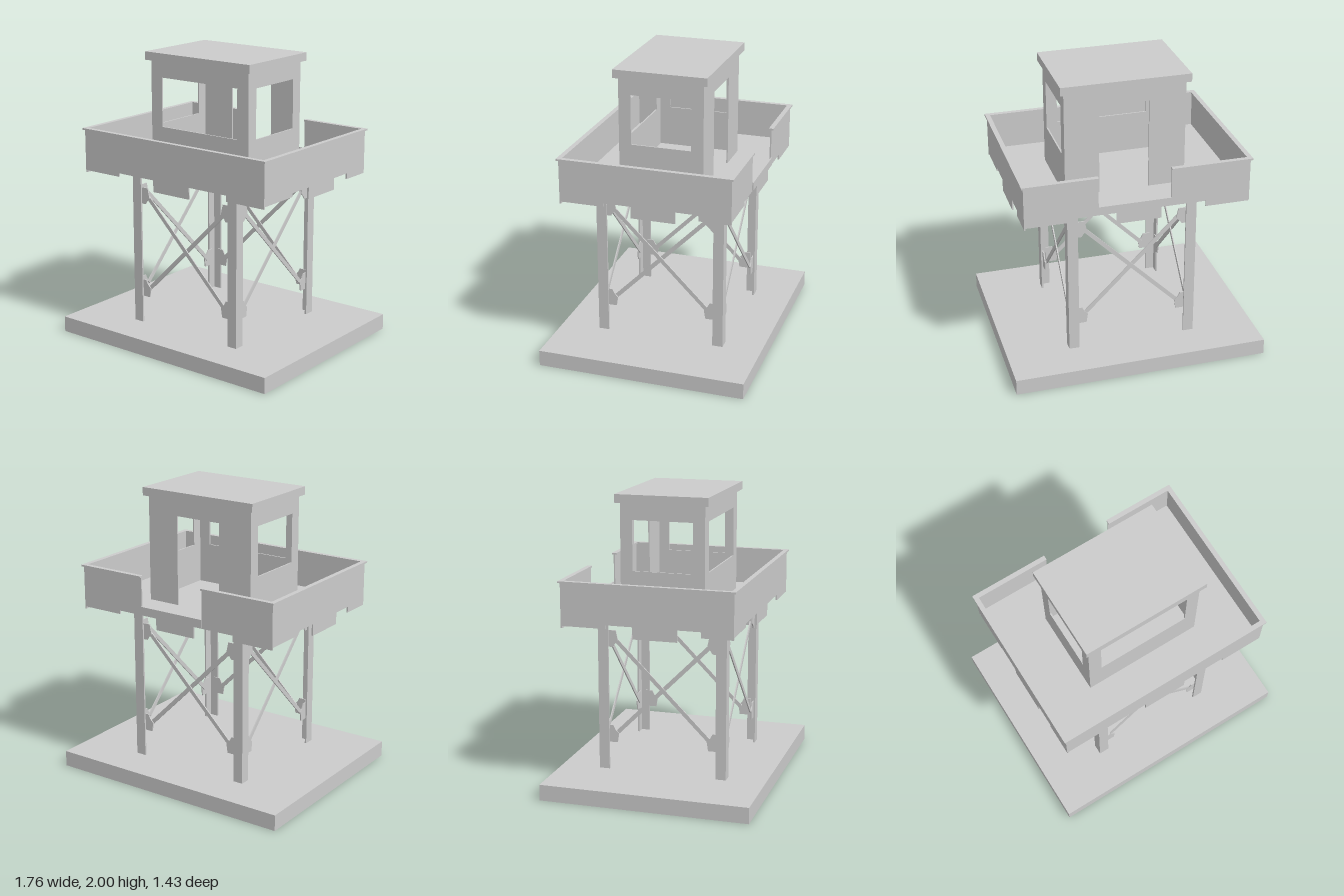
import * as THREE from 'three';

const mat = new THREE.MeshStandardMaterial({ color: 0xcccccc, flatShading: true, side: THREE.DoubleSide });

function add(parent, name, geometry) {
  const mesh = new THREE.Mesh(geometry, mat);
  mesh.name = name;
  parent.add(mesh);
  return mesh;
}

// Box given by its limits on each axis
function box(parent, name, x0, x1, y0, y1, z0, z1) {
  const mesh = add(parent, name, new THREE.BoxGeometry(x1 - x0, y1 - y0, z1 - z0));
  mesh.position.set((x0 + x1) / 2, (y0 + y1) / 2, (z0 + z1) / 2);
  return mesh;
}

const outline = (pts) => new THREE.Shape(pts.map(([x, y]) => new THREE.Vector2(x, y)));

// Flat sheet whose outer face lies at z
function sheet(parent, name, shape, z, t = 0.01) {
  const mesh = add(parent, name, new THREE.ExtrudeGeometry(shape, { depth: t, bevelEnabled: false }));
  mesh.position.z = z - t;
  return mesh;
}

// Group for one of four sides: 0 front, 1 left (+x), 2 back, 3 right
function side(parent, name, k) {
  const g = new THREE.Group();
  g.name = name;
  g.rotation.y = k * Math.PI / 2;
  parent.add(g);
  return g;
}

function buildBase(root) {
  // Hollow slab, open underneath
  const X = 0.88, Z = 0.715, H = 0.11;
  const top = add(root, 'baseTop', new THREE.PlaneGeometry(2 * X, 2 * Z).rotateX(-Math.PI / 2));
  top.position.y = H;
  for (let k = 0; k < 4; k++) {
    const g = side(root, 'baseSide', k);
    const [w, d] = k % 2 ? [Z, X] : [X, Z];
    add(g, 'baseWall', new THREE.PlaneGeometry(2 * w, H)).position.set(0, H / 2, d);
  }
}

function buildFrame(root) {
  const O = 0.447, I = 0.375, T = 0.012;
  const leg = outline([[O, O], [I, O], [I, O - T], [O - T, O - T], [O - T, I], [O, I]]);
  const upper = [[0.4, 1.085], [0.325, 1.085], [0.31, 1.015], [0.335, 0.99], [0.348, 0.97], [0.4, 0.97]];
  const lower = [[0.4, 0.3], [0.32, 0.3], [0.31, 0.365], [0.335, 0.39], [0.35, 0.42], [0.4, 0.42]];
  for (let k = 0; k < 4; k++) {
    const g = side(root, 'frameSide', k);
    // Angle-section leg at the corner
    const geo = new THREE.ExtrudeGeometry(leg, { depth: 1.12, bevelEnabled: false });
    geo.rotateX(-Math.PI / 2);
    add(g, 'leg', geo).position.y = 0.085;
    // Gusset plates and crossed braces
    for (const s of [-1, 1]) {
      for (const pts of [upper, lower]) {
        sheet(g, 'gussetPlate', outline(pts.map(([x, y]) => [s * x, y])), O - T, 0.008);
      }
      const brace = add(g, 'crossBrace', new THREE.BoxGeometry(0.93, 0.028, 0.008));
      brace.position.set(0, 0.69, O - T - 0.012 - (s > 0 ? 0.008 : 0));
      brace.rotation.z = s * Math.PI / 4;
    }
  }
}

function buildPlatform(root) {
  const g = new THREE.Group();
  g.name = 'platform';
  g.position.z = -0.005;
  root.add(g);
  const X = 0.762, Z = 0.58, TOP = 1.46, FLOOR = 1.205;
  box(g, 'floor', -X, X, 1.2, 1.212, -Z, Z);

  for (let k = 0; k < 4; k++) {
    const s = side(g, 'parapetSide', k);
    const across = k % 2 === 1;
    const [w, d] = across ? [Z, X] : [X, Z];
    const [b0, b1, tab] = across ? [-0.09, 0.21, 0.215] : [-0.15, 0.155, 0.302];
    // Parapet outline with hanging tabs and a centre block
    const pts = [
      [-w, 1.175], [-w + 0.305, 1.175], [-w + 0.305, 1.2], [b0, 1.2], [b0, 1.12], [b1, 1.12],
      [b1, 1.2], [w - tab, 1.2], [w - tab, 1.16], [w, 1.16], [w, TOP],
    ];
    // Entrance gap at the back
    if (k === 2) pts.push([0.22, TOP], [0.22, FLOOR], [-0.27, FLOOR], [-0.27, TOP]);
    pts.push([-w, TOP]);
    sheet(s, 'parapet', outline(pts), d);

    // Handrail cap
    const runs = k === 2 ? [[-w - 0.013, -0.27], [0.22, w + 0.013]] : [[-w - 0.013, w + 0.013]];
    for (const [a, b] of runs) box(s, 'railCap', a, b, TOP, 1.472, d - 0.02, d + 0.013);
    if (k === 2) box(s, 'entranceToeBoard', -0.27, 0.22, 1.207, 1.262, d, d + 0.008);
  }
}

function buildCabin(root) {
  const g = new THREE.Group();
  g.name = 'cabin';
  g.position.set(0.0075, 0, -0.005);
  root.add(g);
  const X = 0.412, Z = 0.29, Y0 = 1.21, Y1 = 1.945;
  const rect = (a, b, c, d) => outline([[a, c], [b, c], [b, d], [a, d]]);
  for (let k = 0; k < 4; k++) {
    const s = side(g, 'cabinSide', k);
    const [w, d] = k % 2 ? [Z, X] : [X, Z];
    let wall;
    if (k === 2) {
      // Back wall with doorway
      wall = outline([[-w, Y0], [-0.178, Y0], [-0.178, 1.83], [0.162, 1.83], [0.162, Y0], [w, Y0], [w, Y1], [-w, Y1]]);
    } else {
      // Wall with window opening
      const h = k ? 0.207 : 0.32;
      wall = rect(-w, w, Y0, Y1);
      wall.holes.push(rect(-h, h, 1.49, 1.83));
    }
    sheet(s, 'cabinWall', wall, d);
  }
  box(g, 'roof', -0.44, 0.44, 1.943, 2, -0.32, 0.32);
}

export function createModel() {
  const root = new THREE.Group();
  root.name = 'watchtower';
  buildBase(root);
  buildFrame(root);
  buildPlatform(root);
  buildCabin(root);
  return root;
}
